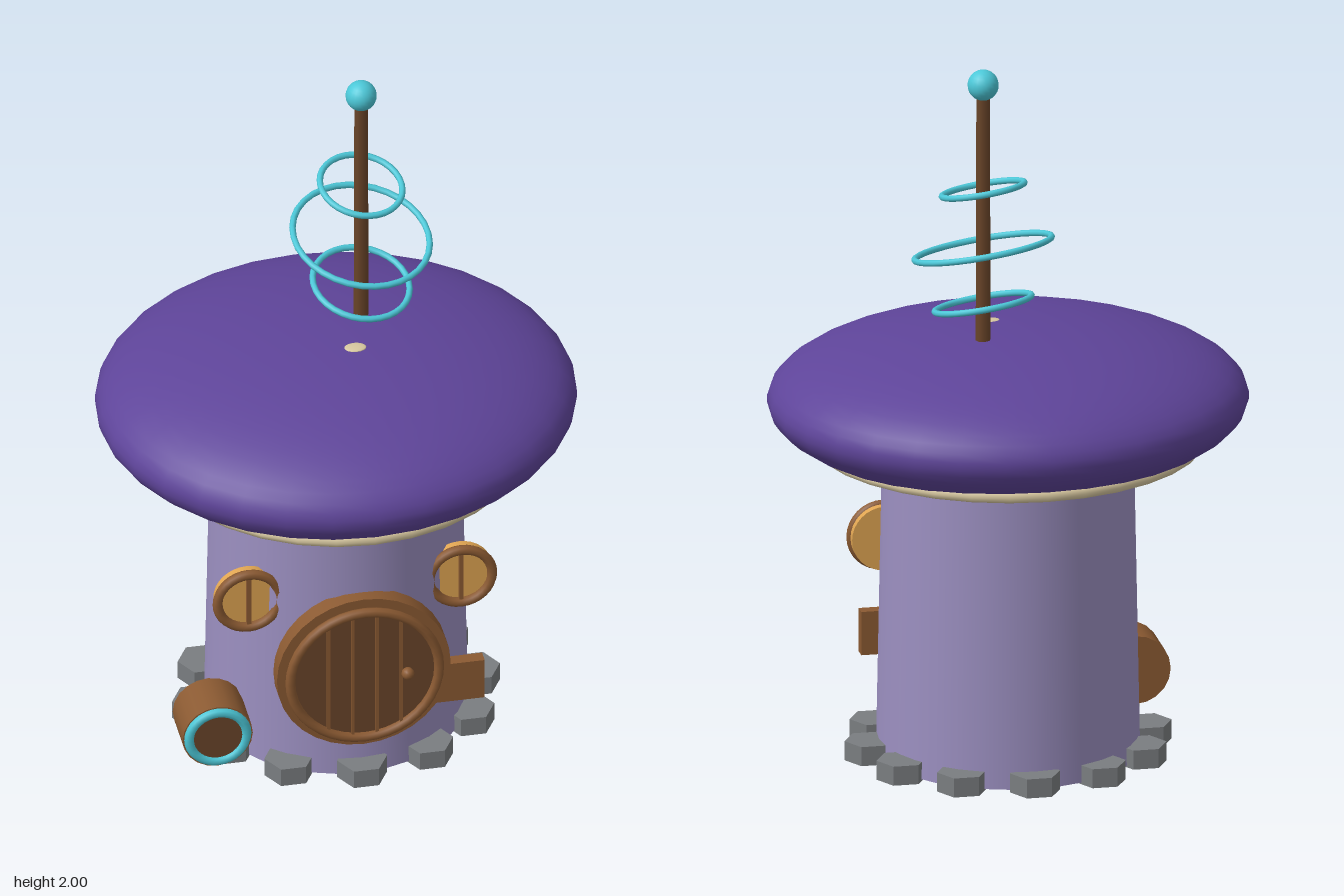
import * as THREE from 'three';

const material = (color, flat = false) => new THREE.MeshStandardMaterial({ color, flatShading: flat });

const purple = material(0x5e4499);
purple.side = THREE.DoubleSide;
const lilac = material(0x9b8fc0);
const cream = material(0xd8c8a0);
const wood = material(0x8b5a32);
const darkWood = material(0x6a4529);
const amber = material(0xe0a552);
const cyan = material(0x4cc8d8);
const stone = material(0x7a7d80, true);

function add(parent, name, geometry, mat, x = 0, y = 0, z = 0) {
  const mesh = new THREE.Mesh(geometry, mat);
  mesh.name = name;
  mesh.position.set(x, y, z);
  parent.add(mesh);
  return mesh;
}

function addGroup(parent, name, x = 0, y = 0, z = 0) {
  const group = new THREE.Group();
  group.name = name;
  group.position.set(x, y, z);
  parent.add(group);
  return group;
}

// Round slab whose flat faces look along z
const disc = (radius, depth, sides = 32) =>
  new THREE.CylinderGeometry(radius, radius, depth, sides).rotateX(Math.PI / 2);

function buildDoor(parent) {
  const door = addGroup(parent, 'door', 0, 0.36, 0);
  add(door, 'doorSurround', disc(0.243, 0.05), wood, 0, 0, 0.36);
  add(door, 'doorPanel', disc(0.21, 0.03), darkWood, 0, 0, 0.382);
  add(door, 'doorRim', new THREE.TorusGeometry(0.208, 0.014, 8, 40), wood, 0, 0, 0.399);
  for (const x of [-0.102, -0.034, 0.034, 0.102]) {
    const height = 2 * Math.sqrt(0.2 * 0.2 - x * x);
    add(door, 'plankBatten', new THREE.BoxGeometry(0.009, height, 0.012), wood, x, 0, 0.398);
  }
  add(door, 'doorKnob', new THREE.SphereGeometry(0.018, 12, 8), wood, 0.117, 0, 0.417);
}

function buildWindow(parent, side) {
  const win = addGroup(parent, side > 0 ? 'leftWindow' : 'rightWindow', side * 0.297, 0.555, 0.25);
  add(win, 'windowPane', disc(0.092, 0.03), amber, 0, 0, -0.008);
  add(win, 'windowFrame', new THREE.TorusGeometry(0.087, 0.014, 8, 32), wood, 0, 0, 0.012);
  add(win, 'windowBar', new THREE.BoxGeometry(0.012, 0.17, 0.016), wood, 0, 0, 0.01);
}

function buildBarrel(parent) {
  const barrel = addGroup(parent, 'barrel', -0.393, 0.145, 0.24);
  add(barrel, 'barrelBody', disc(0.098, 0.14, 20), wood);
  add(barrel, 'barrelHoop', new THREE.TorusGeometry(0.08, 0.014, 8, 32), cyan, 0, 0, 0.07);
  add(barrel, 'barrelLid', disc(0.068, 0.006, 20), darkWood, 0, 0, 0.071);
}

function buildAntenna(parent) {
  const antenna = addGroup(parent, 'antenna', 0.088, 0, -0.088);
  add(antenna, 'pole', new THREE.CylinderGeometry(0.019, 0.021, 0.76, 8), darkWood, 0, 1.56, 0);
  add(antenna, 'poleBall', new THREE.SphereGeometry(0.043, 20, 14), cyan, 0, 1.957, 0);
  // Tilted hoops: height and radius
  for (const [y, radius] of [[1.325, 0.135], [1.485, 0.191], [1.655, 0.115]]) {
    const geometry = new THREE.TorusGeometry(radius, 0.009, 8, 32).rotateX(Math.PI / 2);
    const hoop = add(antenna, 'antennaHoop', geometry, cyan, 0, y, 0);
    hoop.rotation.set(0.215, 0, -0.13);
  }
}

export function createModel() {
  const model = new THREE.Group();
  model.name = 'mushroomHouse';

  // Tapered round wall
  add(model, 'wall', new THREE.CylinderGeometry(0.345, 0.362, 0.88, 32), lilac, 0, 0.445, 0);

  // Flattened cap, cut off where it meets the wall
  const capGeometry = new THREE.SphereGeometry(1, 32, 24, 0, Math.PI * 2, 0, 2.594);
  add(model, 'cap', capGeometry, purple, 0, 1.02, 0).scale.set(0.663, 0.205, 0.615);
  const gillRing = new THREE.TorusGeometry(0.525, 0.019, 8, 32).rotateX(Math.PI / 2);
  add(model, 'gillRing', gillRing, cream, 0, 0.908, 0);
  add(model, 'capSpot', new THREE.SphereGeometry(1, 16, 8), cream, 0.04, 1.222, 0.065).scale.set(0.032, 0.005, 0.022);

  buildDoor(model);
  buildWindow(model, 1);
  buildWindow(model, -1);
  buildBarrel(model);
  buildAntenna(model);

  // Signboard beside the door
  add(model, 'signboard', new THREE.BoxGeometry(0.17, 0.125, 0.036), wood, 0.262, 0.257, 0.323);

  // Ring of hexagonal foundation stones
  const stones = addGroup(model, 'foundation');
  for (let i = 0; i < 12; i++) {
    const a = (i * Math.PI) / 6;
    const geometry = new THREE.CylinderGeometry(0.07, 0.07, 0.055, 6).rotateY(Math.PI / 6);
    add(stones, 'foundationStone', geometry, stone, 0.388 * Math.sin(a), 0.0275, 0.363 * Math.cos(a));
  }
  return model;
}
